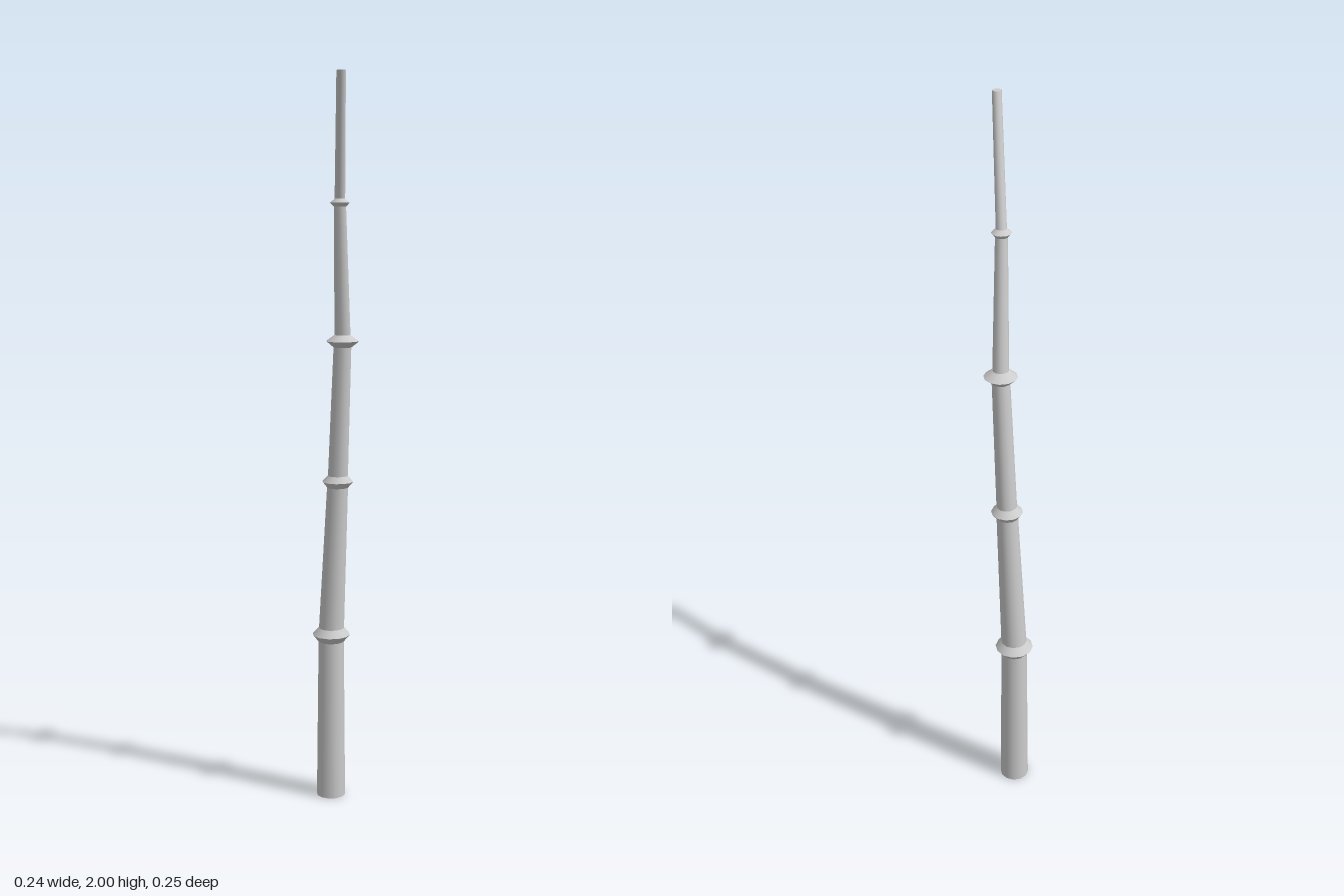
import * as THREE from 'three';

const SIDES = 12;
const material = new THREE.MeshStandardMaterial({ color: 0xcccccc });

// Joints along the stalk: centre, stalk radius below / above, collar radius and half height
const joints = [
  { p: [-0.073, 0, -0.073], above: 0.041 },
  { p: [-0.068, 0.478, -0.068], below: 0.036, above: 0.036, collar: 0.053, half: 0.02 },
  { p: [-0.037, 0.922, -0.058], below: 0.029, above: 0.028, collar: 0.043, half: 0.017 },
  { p: [-0.001, 1.313, -0.033], below: 0.024, above: 0.022, collar: 0.045, half: 0.017 },
  { p: [0.036, 1.678, 0.027], below: 0.016, above: 0.014, collar: 0.026, half: 0.01 },
  { p: [0.106, 2, 0.112], below: 0.012 },
];

// Tapered piece between two centres, sheared so both ends stay level
function piece(name, a, b, rA, rB, open) {
  const h = b.y - a.y;
  const geometry = new THREE.CylinderGeometry(rB, rA, h, SIDES, 1, open);
  const sx = (b.x - a.x) / h, sz = (b.z - a.z) / h;
  geometry.applyMatrix4(new THREE.Matrix4().set(
    1, sx, 0, (a.x + b.x) / 2,
    0, 1, 0, (a.y + b.y) / 2,
    0, sz, 1, (a.z + b.z) / 2,
    0, 0, 0, 1));
  const mesh = new THREE.Mesh(geometry, material);
  mesh.name = name;
  return mesh;
}

export function createModel() {
  const stalk = new THREE.Group();
  stalk.name = 'bambooStalk';
  const centres = joints.map((j) => new THREE.Vector3(...j.p));

  // Straight lengths between the joints
  for (let i = 0; i < joints.length - 1; i++) {
    stalk.add(piece(`stalkSegment${i + 1}`, centres[i], centres[i + 1],
      joints[i].above, joints[i + 1].below, false));
  }

  // Sharp-rimmed collar at each inner joint, following the stalk on either side
  for (let i = 1; i < joints.length - 1; i++) {
    const { below, above, collar, half } = joints[i];
    const c = centres[i];
    const toward = (other) => c.clone().lerp(other, half / Math.abs(other.y - c.y));
    const group = new THREE.Group();
    group.name = `nodeCollar${i}`;
    group.add(
      piece('collarUnderside', toward(centres[i - 1]), c, below, collar, true),
      piece('collarTop', c, toward(centres[i + 1]), collar, above, true));
    stalk.add(group);
  }
  return stalk;
}
